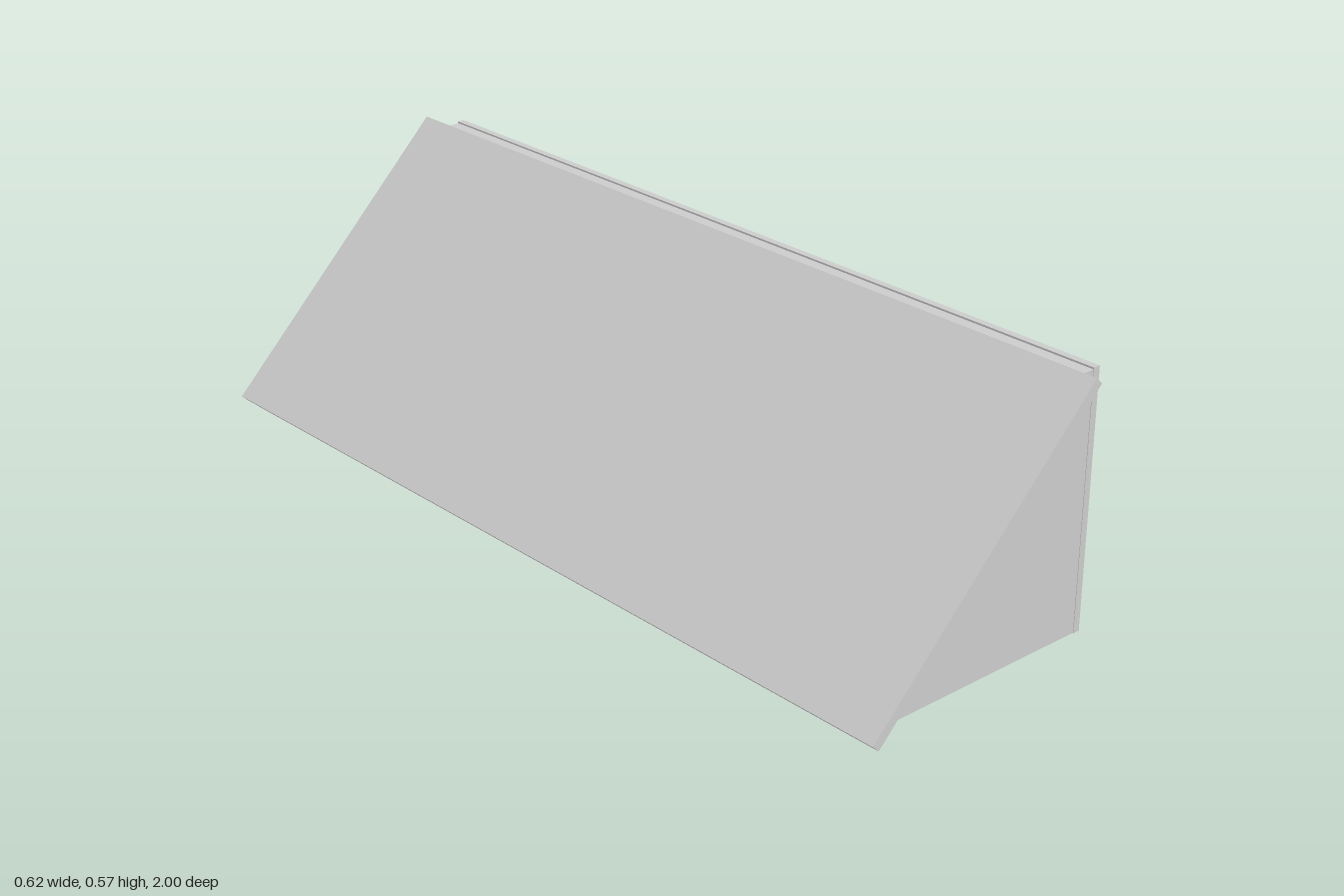
import * as THREE from 'three';

const material = new THREE.MeshStandardMaterial({ color: 0xcccccc, flatShading: true });

// Extrude an x-y outline along z, centred on z = 0
function prism(name, points, length) {
  const shape = new THREE.Shape(points.map(([x, y]) => new THREE.Vector2(x, y)));
  const geometry = new THREE.ExtrudeGeometry(shape, { depth: length, bevelEnabled: false });
  geometry.translate(0, 0, -length / 2);
  const mesh = new THREE.Mesh(geometry, material);
  mesh.name = name;
  return mesh;
}

export function createModel() {
  const group = new THREE.Group();
  group.name = 'wedgeCabinet';

  // Triangular body with a narrow flat top
  group.add(prism('body', [[-0.295, 0.001], [0.294, 0.001], [0.294, 0.552], [0.256, 0.552]], 1.898));

  // Thin upright panel closing the tall side
  const upright = new THREE.Mesh(new THREE.BoxGeometry(0.016, 0.556, 1.9), material);
  upright.name = 'uprightPanel';
  upright.position.set(0.302, 0.278, 0);
  group.add(upright);

  // Sloping panel overhanging both ends
  group.add(prism('slopingPanel', [[-0.31, 0.016], [-0.294, 0.001], [0.256, 0.552], [0.241, 0.567]], 2));

  return group;
}
